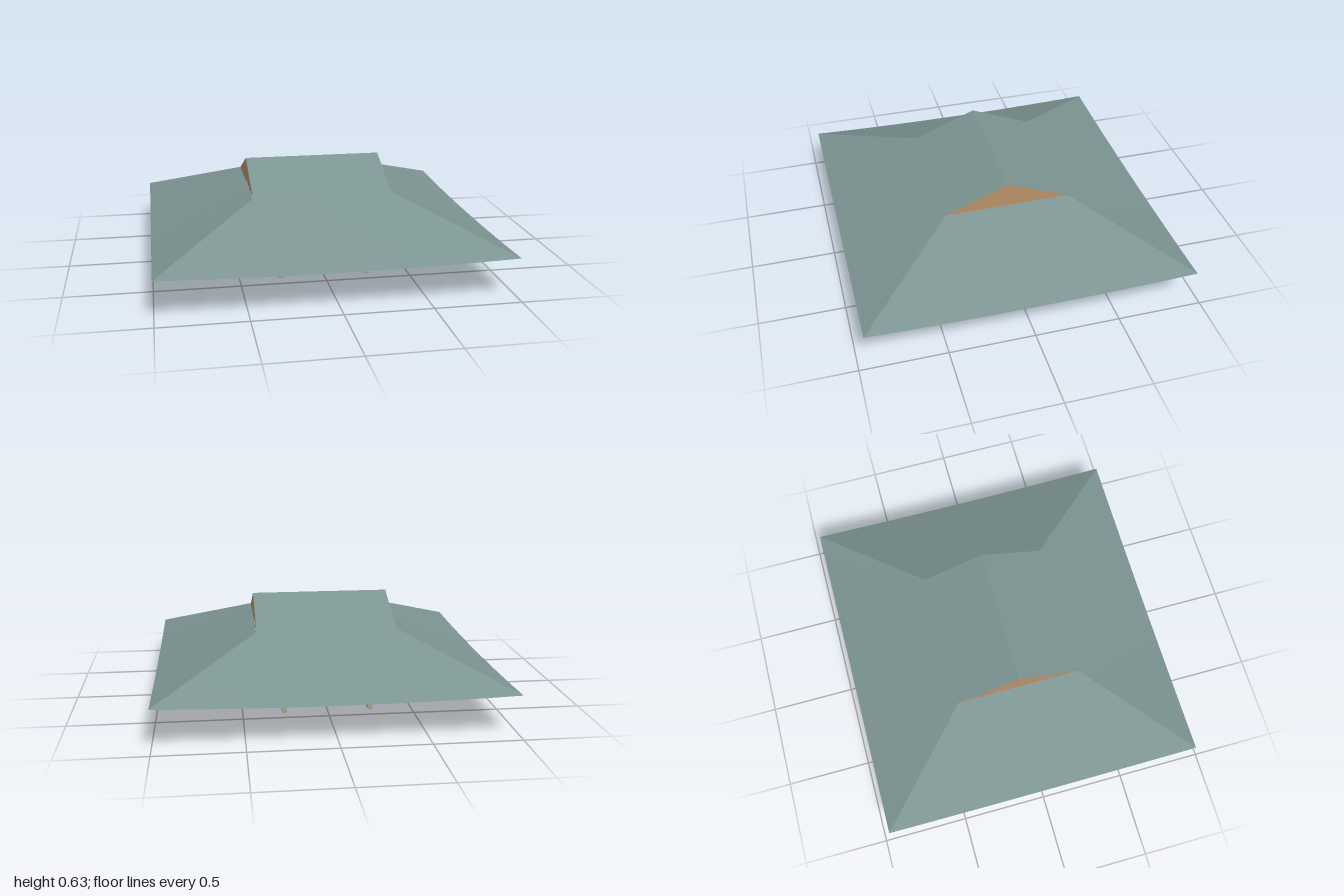
import * as THREE from 'three';

const mat = (name, color, side = THREE.FrontSide) => {
  const m = new THREE.MeshStandardMaterial({ color, side });
  m.name = name;
  return m;
};

export function createModel() {
  const tile = mat('grey green tile', 0x7c9492, THREE.DoubleSide);
  const gableWood = mat('gable wood', 0xb8926a, THREE.DoubleSide);
  const timber = mat('pale timber', 0xaaa193);
  const bracketWood = mat('bracket wood', 0xa9805c);
  const blue = mat('blue paint', 0x3a8fc8);

  const model = new THREE.Group();
  model.name = 'hipAndGableRoof';

  const add = (parent, name, geometry, material, x = 0, y = 0, z = 0) => {
    const m = new THREE.Mesh(geometry, material);
    m.name = name;
    m.position.set(x, y, z);
    parent.add(m);
    return m;
  };
  const box = (parent, name, material, w, h, d, x, y, z) =>
    add(parent, name, new THREE.BoxGeometry(w, h, d), material, x, y, z);

  // Roof slope facing +z: each row is [half width, y, z, sag in the middle]
  const N = 24;
  const slope = (rows) => {
    const pos = [], idx = [];
    rows.forEach(([w, y, z, sag], i) => {
      for (let j = 0; j <= N; j++) {
        const t = (j / N) * 2 - 1;
        pos.push(w * t, y - sag * (1 - t * t), z);
        if (i < rows.length - 1 && j < N) {
          const a = i * (N + 1) + j, b = a + N + 1;
          idx.push(a, b, b + 1, a, b + 1, a + 1);
        }
      }
    });
    const g = new THREE.BufferGeometry();
    g.setAttribute('position', new THREE.Float32BufferAttribute(pos, 3));
    g.setIndex(idx);
    g.computeVertexNormals();
    return g;
  };
  const longRows = [[0.41, 0.632, 0, 0], [0.41, 0.482, 0.37, 0], [1, 0.24, 0.955, 0.018]];
  const endRows = [[0.37, 0.482, 0.41, 0], [0.955, 0.24, 1, 0.018]];
  for (const turn of [0, 1]) {
    const name = turn ? 'back' : 'front';
    add(model, name + 'Slope', slope(longRows), tile).rotation.y = turn * Math.PI;
    add(model, (turn ? 'right' : 'left') + 'Slope', slope(endRows), tile)
      .rotation.y = Math.PI / 2 + turn * Math.PI;
  }

  // Triangular gable walls
  const tri = new THREE.Shape([[-0.37, 0.482], [0.37, 0.482], [0, 0.632]].map((p) => new THREE.Vector2(...p)));
  for (const s of [1, -1]) {
    add(model, 'gable', new THREE.ShapeGeometry(tri), gableWood, s * 0.409).rotation.y = s * Math.PI / 2;
  }

  // Profile in (u, y) extruded to a centred thickness
  const plate = (points, depth) => {
    const g = new THREE.ExtrudeGeometry(
      new THREE.Shape(points.map((p) => new THREE.Vector2(...p))), { depth, bevelEnabled: false });
    return g.translate(0, 0, -depth / 2);
  };
  // Bracket arm with its lower corners cut away
  const arm = (half, h) => plate([
    [-half * 0.6, 0], [half * 0.6, 0], [half, h * 0.6], [half, h], [-half, h], [-half, h * 0.6]], 0.022);
  // Flared foot of a post
  const foot = () => plate([[-0.035, 0], [0.035, 0], [0.018, 0.012], [0.013, 0.022], [-0.013, 0.022], [-0.018, 0.012]], 0.026);
  // Sloping strut between two points in the frame plane
  const strut = (parent, z0, y0, z1, y1, t) => {
    const len = Math.hypot(z1 - z0, y1 - y0);
    box(parent, 'brace', timber, 0.022, t, len, 0, (y0 + y1) / 2, (z0 + z1) / 2)
      .rotation.x = -Math.atan2(y1 - y0, z1 - z0);
  };

  // Two timber trusses
  for (const side of [1, -1]) {
    const f = new THREE.Group();
    f.name = side > 0 ? 'leftTruss' : 'rightTruss';
    f.position.x = side * 0.255;
    model.add(f);

    box(f, 'lowerBeam', timber, 0.03, 0.046, 0.826, 0, 0.027, 0);
    box(f, 'lowerBeamSole', bracketWood, 0.029, 0.005, 0.824, 0, 0.0025, 0);
    box(f, 'upperBeam', timber, 0.028, 0.04, 0.42, 0, 0.137, 0);

    // Ridge post
    box(f, 'ridgePost', timber, 0.016, 0.14, 0.024, 0, 0.22, 0);
    add(f, 'ridgePostFoot', foot(), timber, 0, 0.157, 0).rotation.y = Math.PI / 2;
    add(f, 'ridgeArm', arm(0.097, 0.018), bracketWood, 0, 0.288, 0);

    for (const s of [1, -1]) {
      const z = s * 0.21;
      strut(f, s * 0.385, 0.05, s * 0.2, 0.142, 0.02);
      strut(f, s * 0.2, 0.155, s * 0.01, 0.288, 0.018);

      // Bracket set carrying a rail
      add(f, 'postFoot', foot(), timber, 0, 0.05, z).rotation.y = Math.PI / 2;
      box(f, 'post', timber, 0.024, 0.115, 0.022, 0, 0.107, z);
      add(f, 'lowerArm', arm(0.058, 0.027), bracketWood, 0, 0.079, z);
      add(f, 'crossArm', arm(0.045, 0.022), bracketWood, 0, 0.08, z - s * 0.012).rotation.y = Math.PI / 2;
      add(f, 'middleArm', arm(0.1, 0.022), timber, 0, 0.115, z);
      add(f, 'upperArm', arm(0.098, 0.018), bracketWood, 0, 0.15, z);
      for (const x of [-1, 0, 1]) {
        box(f, 'lowerBlock', timber, 0.02, 0.012, 0.03, x * 0.04, 0.111, z);
        box(f, 'upperBlock', timber, 0.022, 0.014, 0.03, x * 0.07, 0.143, z);
      }
    }
  }

  // Blue round rails along x
  for (const [y, z] of [[0.18, 0.21], [0.18, -0.21], [0.317, 0]]) {
    add(model, 'rail', new THREE.CylinderGeometry(0.012, 0.012, 0.715, 16), blue, 0, y, z)
      .rotation.z = Math.PI / 2;
  }
  return model;
}
